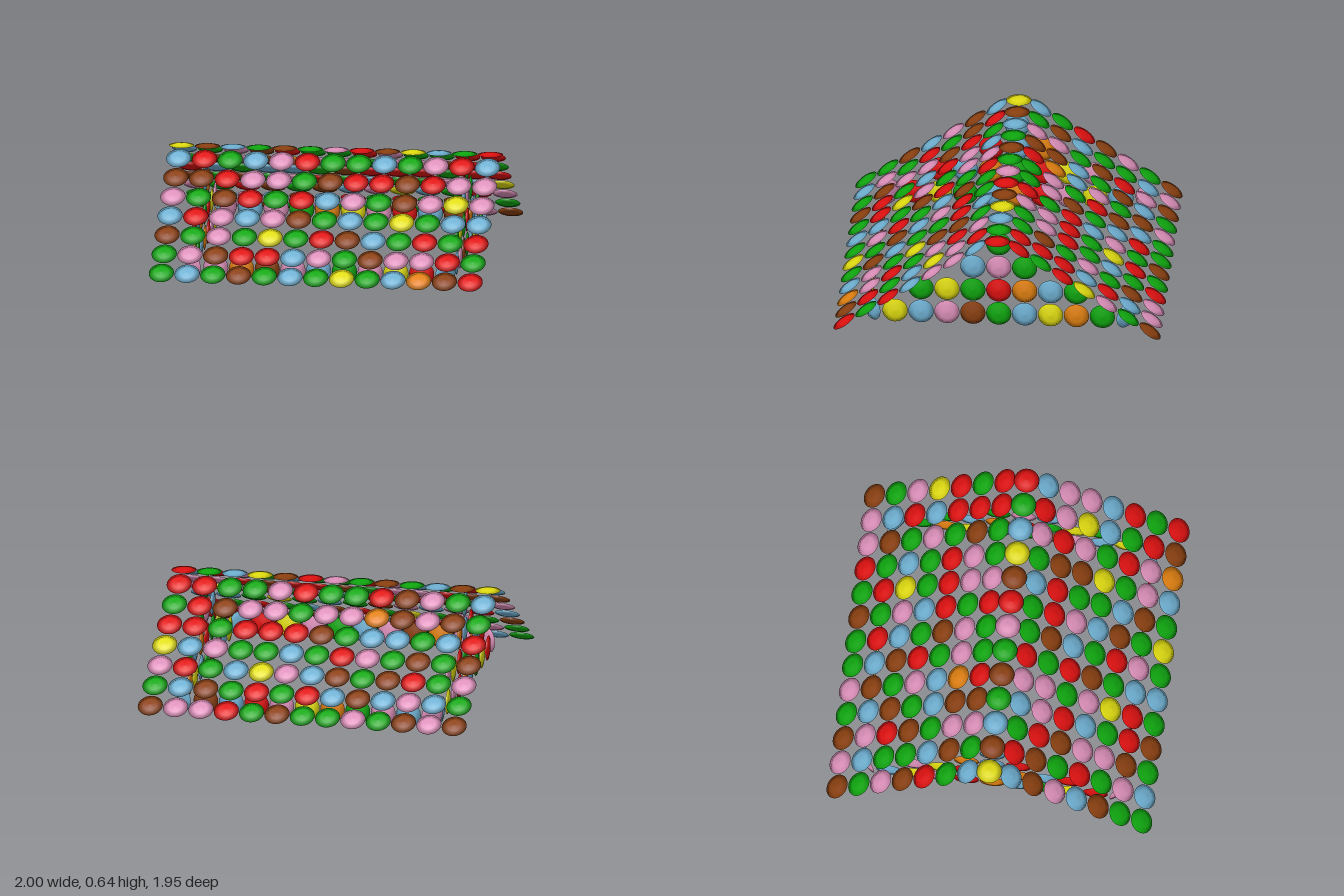
import * as THREE from 'three';

const R = 0.075; // disc radius
const PITCH = 0.154; // spacing of disc centres
const TILT = THREE.MathUtils.degToRad(33.5);

const COLORS = {
  g: 0x0fa80f, r: 0xe01010, l: 0x6fb0d2, p: 0xdc90ba,
  b: 0x8b4010, y: 0xe0dc10, o: 0xe08010,
};

// roof colours, one string per row from back eave to front eave
const ROOF = [
  'bpbgpggbgrppb', 'glplblrgrgblg', 'pgrbgblpylgrp', 'bgbgprglggply',
  'rlgllgbrrrgrr', 'gbpboppgppbrg', 'lgpbrggrpggrr', 'yblgbgprbylgr',
  'lrglprgglgprl', 'bbrppgbrrbrpp', 'pgbrgrlpgbpyp', 'lrplpbglgygll',
  'bgpgygrblgrgr', 'gpbrrlpgbpprg', 'glgbglgyglobr',
];
// gable colours, bottom row first, from front to back
const GABLES = {
  left: ['ylpbglyog', 'gygrolg', 'lpg', 'g'],
  right: ['ryglorpyl', 'rlogryp', 'rlo', 'l'],
};
const EAVES = { front: 'pobplgpyr', back: 'lpgoyprlb' };

export function createModel() {
  const model = new THREE.Group();
  const materials = {};
  for (const key in COLORS) {
    materials[key] = new THREE.MeshStandardMaterial({ color: COLORS[key] });
  }

  // thin round lens, flat side along y
  const profile = [[0, -0.012], [0.04, -0.008], [R, 0], [0.04, 0.008], [0, 0.012]];
  const lens = new THREE.LatheGeometry(profile.map(([x, y]) => new THREE.Vector2(x, y)), 32);

  const up = new THREE.Vector3(0, 1, 0);
  function disc(parent, name, key, position, normal) {
    const mesh = new THREE.Mesh(lens, materials[key]);
    mesh.name = name;
    mesh.position.set(...position);
    mesh.quaternion.setFromUnitVectors(up, new THREE.Vector3(...normal).normalize());
    parent.add(mesh);
  }
  function part(name) {
    const group = new THREE.Group();
    group.name = name;
    model.add(group);
    return group;
  }

  // roof: two slopes of discs meeting at a level ridge row
  const roof = part('roof');
  ROOF.forEach((row, j) => {
    const k = j - 7;
    const side = Math.sign(k);
    const y = k === 0 ? 0.638 : 0.676 - 0.086 * Math.abs(k);
    [...row].forEach((key, i) => {
      disc(roof, k === 0 ? 'ridgeDisc' : 'roofDisc', key, [(i - 6) * PITCH, y, k * 0.13],
        [0, Math.cos(TILT), side * Math.sin(TILT)]);
    });
  });

  // stepped gable walls
  for (const [name, side, drop] of [['left', 1, 0], ['right', -1, 0.008]]) {
    const gable = part(name + 'Gable');
    GABLES[name].forEach((row, j) => {
      [...row].forEach((key, i) => {
        const z = ((row.length - 1) / 2 - i) * PITCH;
        disc(gable, 'gableDisc', key, [side * 0.785, 0.088 + j * 0.154 - drop, z], [side, 0, 0]);
      });
    });
  }

  // low walls under the eaves, with discs set diagonally at the corners
  for (const [name, side] of [['front', 1], ['back', -1]]) {
    const wall = part(name + 'Wall');
    [...EAVES[name]].forEach((key, i) => {
      disc(wall, 'wallDisc', key, [(i - 4) * PITCH, 0.085, side * 0.775], [0, 0, side]);
    });
    for (const sx of [-1, 1]) {
      disc(wall, 'cornerDisc', sx > 0 ? 'l' : 'p', [sx * 0.755, 0.085, side * 0.755], [sx, 0, side]);
    }
  }
  return model;
}
